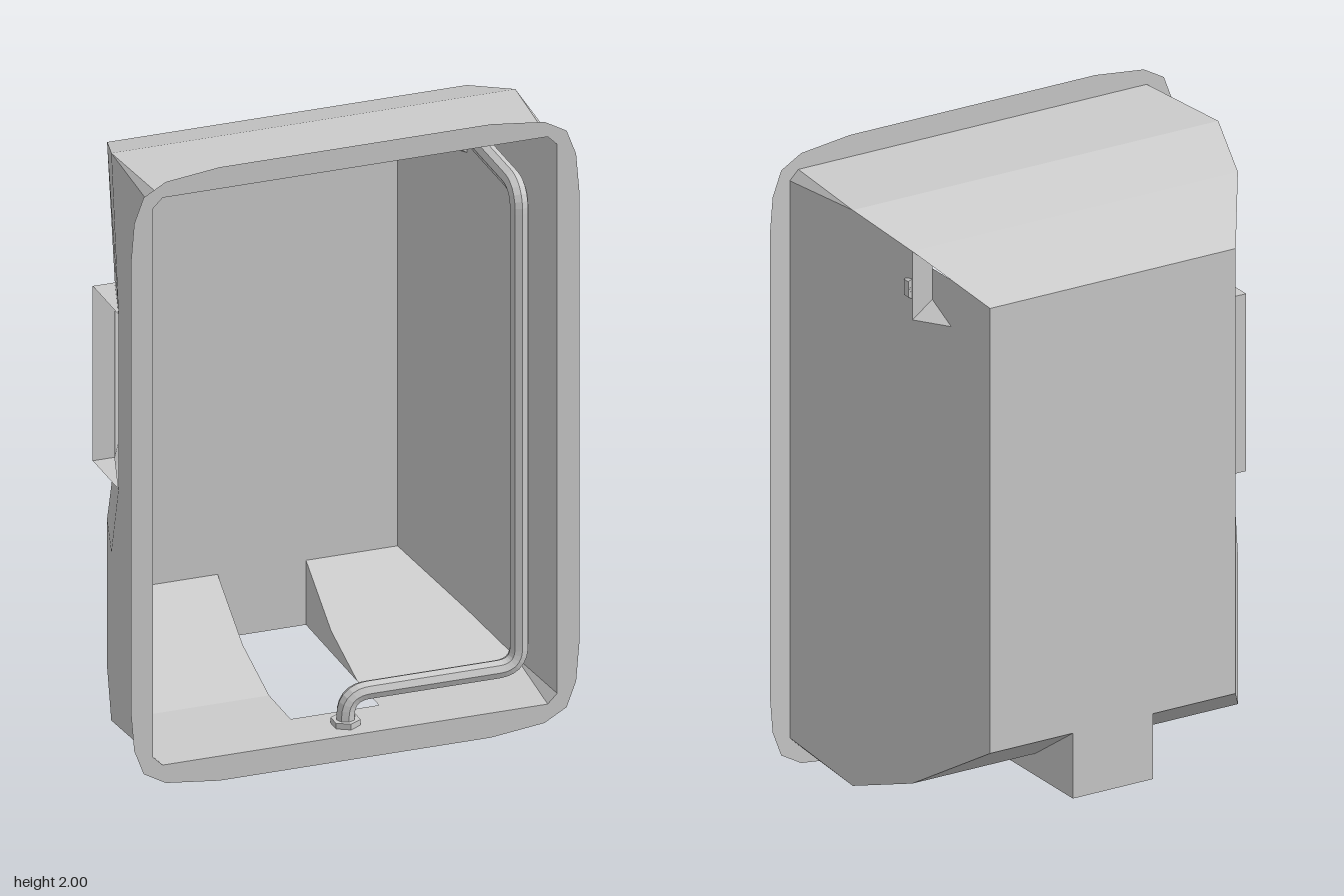
import * as THREE from 'three';

const mat = new THREE.MeshStandardMaterial({ color: 0xcccccc, flatShading: true, side: THREE.DoubleSide });

// Flat panels: each face is a list of 3 or more corners, drawn as a fan
function panels(name, faces) {
  const pos = [];
  for (const f of faces)
    for (let i = 1; i < f.length - 1; i++) pos.push(...f[0], ...f[i], ...f[i + 1]);
  const g = new THREE.BufferGeometry();
  g.setAttribute('position', new THREE.Float32BufferAttribute(pos, 3));
  g.computeVertexNormals();
  const m = new THREE.Mesh(g, mat);
  m.name = name;
  return m;
}

// Cells between rows of points; skip(row, column) leaves an opening
function gridFaces(rows, skip = () => false) {
  const faces = [];
  for (let r = 0; r < rows.length - 1; r++)
    for (let c = 0; c < rows[r].length - 1; c++)
      if (!skip(r, c)) faces.push([rows[r][c], rows[r][c + 1], rows[r + 1][c + 1], rows[r + 1][c]]);
  return faces;
}

// Shell sections from the front to the back
const sections = [
  { z: 0.39, x: 0.64, b: 0.08, t: 1.93 },
  { z: 0.04, x: 0.64, b: 0.08, t: 1.93 },
  { z: -0.18, x: 0.57, b: 0.15, t: 1.86 },
  { z: -0.39, x: 0.43, b: 0.29, t: 1.72 },
];
const cut = 0.03;                       // corner cut at the mouth
const half = 0.14;                      // half width of the floor channel
const inset = (i) => (i === 0 ? cut : 0);

export function createModel() {
  const model = new THREE.Group();
  const front = sections[0], back = sections[3];

  // Flat rim around the mouth
  const corner = [[0.71, 0.74], [0.70, 0.86], [0.67, 0.94], [0.60, 0.98], [0.43, 1.0]];
  const flip = (pts, sx, sy) => pts.map(([x, y]) => new THREE.Vector2(x * sx, 1 + y * sy));
  const outline = [
    ...flip(corner, 1, 1), ...flip([...corner].reverse(), -1, 1),
    ...flip(corner, -1, -1), ...flip([...corner].reverse(), 1, -1),
  ];
  const rimShape = new THREE.Shape(outline);
  const { x: w, b, t } = front;
  rimShape.holes.push(new THREE.Path([
    [w, b + cut], [w, t - cut], [w - cut, t], [cut - w, t],
    [-w, t - cut], [-w, b + cut], [cut - w, b], [w - cut, b],
  ].map((p) => new THREE.Vector2(...p))));
  const rim = new THREE.Mesh(new THREE.ShapeGeometry(rimShape), mat);
  rim.position.z = front.z;
  rim.name = 'rim';
  model.add(rim);

  // Roof
  model.add(panels('roof', gridFaces(sections.map((s, i) =>
    [[-s.x + inset(i), s.t, s.z], [s.x - inset(i), s.t, s.z]]))));

  // Floor halves, front strip and channel cheeks
  const floor = [[
    [-half, b, front.z], [half, b, front.z], [half, b, 0.22], [-half, b, 0.22],
  ]];
  for (const s of [-1, 1]) {
    floor.push(...gridFaces(sections.map((q, i) =>
      [[s * half, q.b, q.z], [s * (q.x - inset(i)), q.b, q.z]])));
    floor.push([[s * half, b, back.z], ...sections.slice(1).map((q) => [s * half, q.b, q.z])]);
  }
  model.add(panels('floor', floor));

  // Back plate with the tab closing the channel
  model.add(panels('backPlate', [
    [[-back.x, back.b, back.z], [back.x, back.b, back.z], [back.x, back.t, back.z], [-back.x, back.t, back.z]],
    [[-half, b, back.z], [half, b, back.z], [half, back.b, back.z], [-half, back.b, back.z]],
  ]));

  // Left wall (+x), open at the top where the pipe pocket sits
  const mid = { z: -0.285, x: 0.5, b: 0.22, t: 1.79 };
  const columns = [...sections.slice(0, 3), mid, back];
  model.add(panels('leftWall', gridFaces(columns.map((s, i) => [
    [s.x, s.b + inset(i), s.z], [s.x, 1.64, s.z], [s.x, s.t - inset(i), s.z],
  ]), (r, c) => r === 2 && c === 1)));

  // Pocket for the pipe outlet
  model.add(panels('pipePocket', [
    [[0.5, 1.69, -0.18], [0.57, 1.64, -0.18], [0.57, 1.86, -0.18], [0.5, 1.86, -0.18]],
    [[0.5, 1.64, -0.285], [0.5, 1.69, -0.18], [0.5, 1.79, -0.18], [0.5, 1.79, -0.285]],
    [[0.5, 1.69, -0.18], [0.57, 1.64, -0.18], [0.5, 1.64, -0.285]],
  ]));

  // Right wall (-x), its creases moved forward beside the window
  const shift = [0, 0.06, 0.065, 0];
  model.add(panels('rightWall', gridFaces(sections.map((s, i) => [
    [-s.x, s.b + inset(i), s.z],
    [-s.x, 0.63, s.z],
    [-s.x, 0.86, s.z + shift[i]],
    [-s.x, 1.43, s.z + shift[i]],
    [-s.x, s.t - inset(i), s.z],
  ]), (r, c) => r === 1 && c === 2)));

  // Window frame: sill, head and rear jamb
  const [y0, y1, zr, zf] = [0.86, 1.43, -0.115, 0.1];
  model.add(panels('windowFrame', [
    ...[y0, y1].map((y) => [[-0.57, y, zr], [-0.64, y, zr], [-0.64, y, zf]]),
    [[-0.57, y0, zr], [-0.64, y0, zr], [-0.64, y1, zr], [-0.57, y1, zr]],
  ]));

  // Small corner facets that close the cut mouth corners
  const facets = [];
  for (const s of [-1, 1])
    for (const [y, d] of [[b, 1], [t, -1]])
      facets.push([[s * w, y + d * cut, front.z], [s * (w - cut), y, front.z], [s * w, y, 0.04]]);
  model.add(panels('cornerFacets', facets));

  // Bent pipe: straight runs joined by rounded bends
  const v = (x, y, z) => new THREE.Vector3(x, y, z);
  const knots = [v(0, 0.08, 0.31), v(0, 0.18, 0.31), v(0.55, 0.18, 0.31), v(0.55, 1.74, 0.31), v(0.55, 1.74, -0.18)];
  const path = new THREE.CurvePath();
  let from = knots[0];
  for (let i = 1; i < knots.length - 1; i++) {
    const k = knots[i];
    const toward = (p) => k.clone().add(p.clone().sub(k).setLength(0.07));
    const start = toward(knots[i - 1]), end = toward(knots[i + 1]);
    path.add(new THREE.LineCurve3(from, start));
    path.add(new THREE.QuadraticBezierCurve3(start, k, end));
    from = end;
  }
  path.add(new THREE.LineCurve3(from, knots[4]));
  const pipe = new THREE.Mesh(new THREE.TubeGeometry(path, 160, 0.029, 8), mat);
  pipe.name = 'pipe';
  model.add(pipe);

  // Nuts at both pipe ends
  const nut = (name, r, h, p) => {
    const m = new THREE.Mesh(new THREE.CylinderGeometry(r, r, h, 6), mat);
    m.name = name;
    m.position.copy(p);
    model.add(m);
    return m;
  };
  nut('lowerNut', 0.045, 0.025, v(0, 0.086, 0.31));
  nut('upperNut', 0.05, 0.025, v(0.54, 1.74, -0.167)).rotation.x = Math.PI / 2;

  return model;
}
